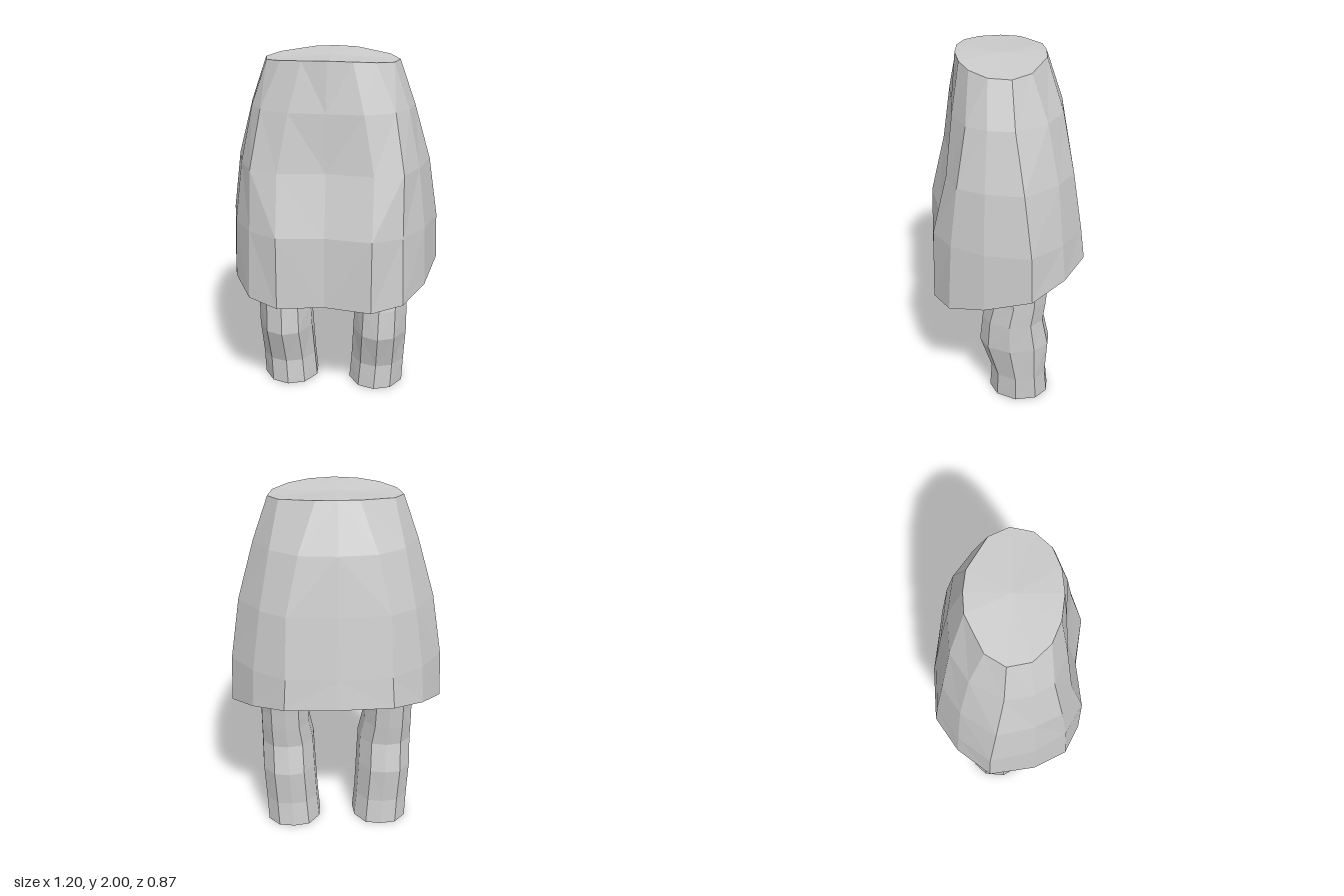
import * as THREE from 'three';

const cloth = new THREE.MeshStandardMaterial({ color: 0xcccccc, flatShading: true, side: THREE.DoubleSide });
cloth.name = 'light grey';

// Joins equal rings of [x, y, z] points, listed bottom to top, with an optional cap.
function loft(rings, cap) {
  const n = rings[0].length;
  const points = rings.flat();
  const index = [];
  for (let i = 0; i < rings.length - 1; i++) {
    for (let j = 0; j < n; j++) {
      const k = (j + 1) % n;
      const a = i * n + j, b = i * n + k, c = a + n, d = b + n;
      if (j < n / 2) index.push(a, c, b, b, c, d);
      else index.push(a, c, d, a, d, b);
    }
  }
  if (cap) {
    const top = (rings.length - 1) * n;
    points.push(cap);
    for (let j = 0; j < n; j++) index.push(top + j, points.length - 1, top + (j + 1) % n);
  }
  const geometry = new THREE.BufferGeometry();
  geometry.setAttribute('position', new THREE.Float32BufferAttribute(points.flat(), 3));
  geometry.setIndex(index);
  const flat = geometry.toNonIndexed();
  flat.computeVertexNormals();
  return flat;
}

// Half outlines [x, z] of the skirt, from centre back round to centre front.
const skirtLevels = [
  { y: (x, z) => 0.78 - 0.28 * z, half: [[0, -0.435], [0.3, -0.41], [0.475, -0.28], [0.6, -0.09], [0.54, 0.165], [0.43, 0.35], [0.26, 0.43], [0, 0.4]] },
  { y: () => 1.07, half: [[0, -0.41], [0.29, -0.39], [0.465, -0.265], [0.59, -0.085], [0.53, 0.16], [0.42, 0.33], [0.26, 0.42], [0, 0.385]] },
  { y: () => 1.41, half: [[0, -0.36], [0.28, -0.34], [0.42, -0.24], [0.54, -0.05], [0.49, 0.15], [0.415, 0.29], [0.26, 0.34], [0, 0.31]] },
  { y: () => 1.73, half: [[0, -0.305], [0.21, -0.285], [0.36, -0.185], [0.45, -0.01], [0.425, 0.13], [0.36, 0.235], [0.2, 0.3], [0, 0.295]] },
  { y: x => 2 - 0.22 * x * x, half: [[0, -0.215], [0.115, -0.205], [0.305, -0.105], [0.365, 0], [0.34, 0.12], [0.25, 0.21], [0.135, 0.255], [0, 0.27]] },
];

function skirtRing({ y, half }) {
  const mirrored = half.slice(1, -1).reverse().map(([x, z]) => [-x, z]);
  return [...half, ...mirrored].map(([x, z]) => [x, y(x, z), z]);
}

// Ten-sided leg outline, squarish at the outer side.
const legOutline = [[0, -1], [0.55, -0.92], [0.95, -0.5], [1, 0.2], [0.6, 0.8], [0, 1], [-0.6, 0.8], [-1, 0.2], [-0.95, -0.4], [-0.55, -0.9]];

// Leg levels: y, inner x, outer x, back z, front z.
const legLevels = [
  [0, 0.1, 0.42, -0.225, 0.117],
  [0.15, 0.113, 0.427, -0.21, 0.108],
  [0.36, 0.125, 0.44, -0.225, 0.175],
  [0.53, 0.133, 0.44, -0.19, 0.158],
  [0.65, 0.155, 0.44, -0.205, 0.13],
  [0.75, 0.16, 0.44, -0.215, 0.14],
  [0.89, 0.16, 0.445, -0.23, 0.145],
];

function legRings(side) {
  return legLevels.map(([y, inner, outer, back, front]) => {
    const ring = legOutline.map(([u, v]) => [
      side * ((inner + outer) / 2 + u * (outer - inner) / 2),
      y,
      (back + front) / 2 + v * (front - back) / 2,
    ]);
    return side > 0 ? ring : ring.reverse();
  });
}

export function createModel() {
  const model = new THREE.Group();
  model.name = 'skirtAndLegs';
  const add = (name, geometry) => {
    const mesh = new THREE.Mesh(geometry, cloth);
    mesh.name = name;
    model.add(mesh);
  };

  // Skirt, closed at the waist and open at the slanted hem
  add('skirt', loft(skirtLevels.map(skirtRing), [0, 1.99, 0.02]));

  // Hollow legs
  add('leftLeg', loft(legRings(1)));
  add('rightLeg', loft(legRings(-1)));
  return model;
}
